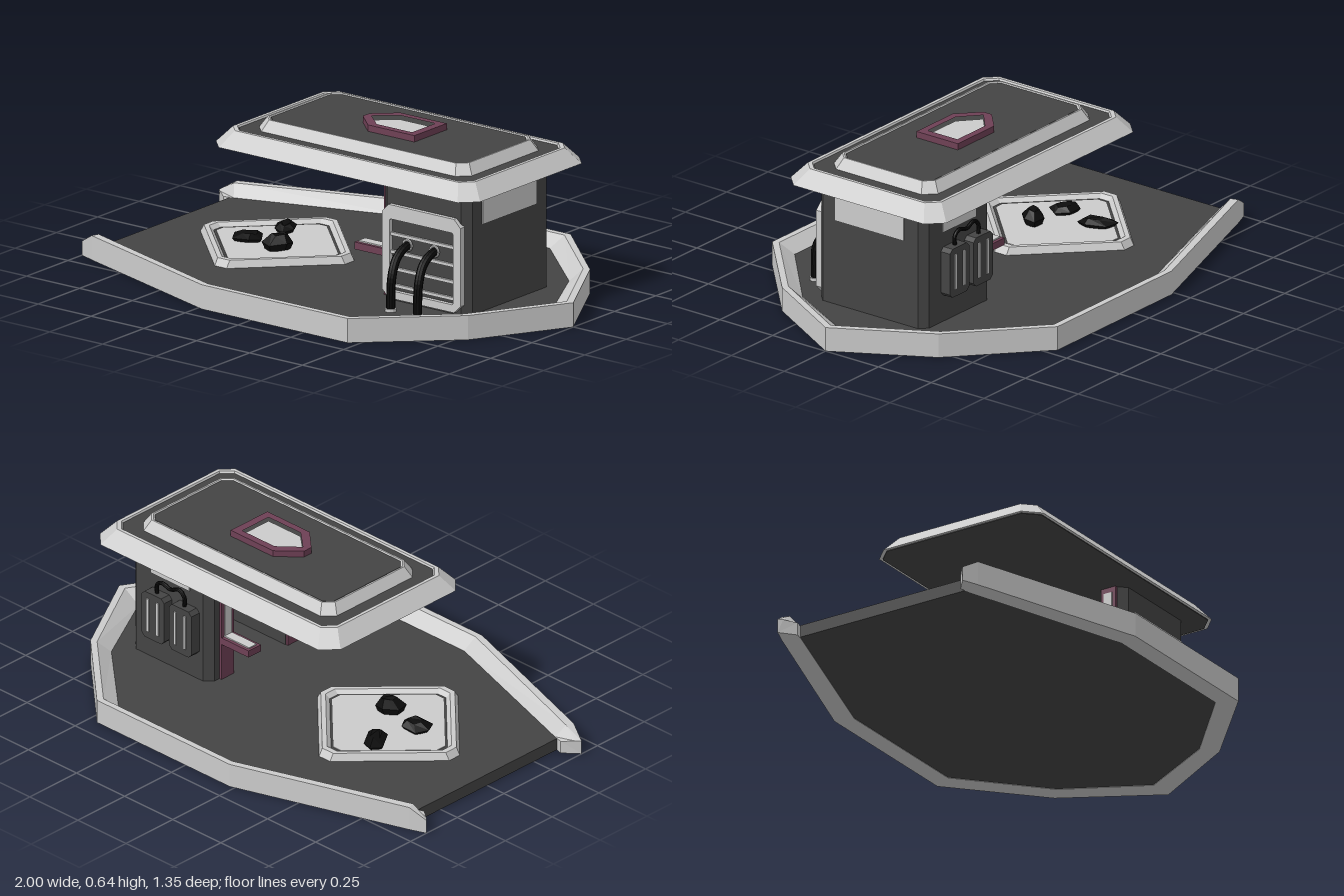
import * as THREE from 'three';

const mat = (color) => new THREE.MeshStandardMaterial({ color, flatShading: true });
const light = mat(0xcccccc), dark = mat(0x444444), black = mat(0x0c0c0c), maroon = mat(0x6e4055);

// Skin a series of closed convex cross-sections and cap both ends
function loft(rings) {
  const n = rings[0].length, tris = [];
  for (let r = 0; r + 1 < rings.length; r++)
    for (let i = 0; i < n; i++) {
      const j = (i + 1) % n, a = rings[r], b = rings[r + 1];
      tris.push([a[i], a[j], b[j]], [a[i], b[j], b[i]]);
    }
  const first = rings[0], last = rings[rings.length - 1];
  for (let i = 1; i + 1 < n; i++)
    tris.push([first[0], first[i + 1], first[i]], [last[0], last[i], last[i + 1]]);
  // signed volume decides which way the faces must turn
  const v = tris.map((t) => t.map((p) => new THREE.Vector3(...p)));
  const volume = v.reduce((s, [a, b, c]) => s + a.dot(b.clone().cross(c)), 0);
  if (volume < 0) v.forEach((t) => t.reverse());
  const g = new THREE.BufferGeometry().setFromPoints(v.flat());
  g.computeVertexNormals();
  return g;
}

// Rectangle with cut corners, at height y
function cutRect(x0, x1, z0, z1, c, y) {
  return [[x0 + c, z0], [x1 - c, z0], [x1, z0 + c], [x1, z1 - c],
    [x1 - c, z1], [x0 + c, z1], [x0, z1 - c], [x0, z0 + c]].map(([x, z]) => [x, y, z]);
}

const toPath = (pts, Type) => new Type(pts.map(([x, y]) => new THREE.Vector2(x, y)));

function plate(pts, depth, hole) {
  const s = toPath(pts, THREE.Shape);
  if (hole) s.holes.push(toPath(hole, THREE.Path));
  return new THREE.ExtrudeGeometry(s, { depth, bevelEnabled: false });
}

// Plan outline [x, z] raised from y0 to y1
function raise(pts, y0, y1, hole) {
  const flip = (list) => list && list.map(([x, z]) => [x, -z]);
  return plate(flip(pts), y1 - y0, flip(hole)).rotateX(-Math.PI / 2).translate(0, y0, 0);
}

export function createModel() {
  const model = new THREE.Group();
  const add = (name, geo, material, parent = model) => {
    const m = new THREE.Mesh(geo, material);
    m.name = name;
    parent.add(m);
    return m;
  };
  const box = (name, x0, x1, y0, y1, z0, z1, material, parent) => add(name,
    new THREE.BoxGeometry(x1 - x0, y1 - y0, z1 - z0)
      .translate((x0 + x1) / 2, (y0 + y1) / 2, (z0 + z1) / 2), material, parent);
  const FLOOR = 0.05;

  // Deck
  const deckSide = [[-0.915, 0.37], [-0.21, 0.6], [0.42, 0.6], [0.73, 0.32], [0.9, 0]];
  const deckPts = [...deckSide, ...deckSide.slice(0, 4).reverse().map(([x, z]) => [x, -z])];
  add('deck', raise(deckPts, 0.002, FLOOR), dark);

  // Rim: outer, top inner edge and foot at each station, mirrored about the bow
  const stations = [
    [-1, 0.415, -0.985, 0.4, -0.94, 0.365, 0.055],
    [-0.935, 0.44, -0.925, 0.41, -0.9, 0.375, 0.095],
    [-0.23, 0.675, -0.22, 0.65, -0.21, 0.6, 0.095],
    [0.46, 0.675, 0.45, 0.65, 0.42, 0.6, 0.095],
    [0.79, 0.37, 0.765, 0.36, 0.73, 0.32, 0.095],
    [1, 0, 0.97, 0, 0.9, 0, 0.095],
  ];
  for (const s of [1, -1])
    add('hullRim', loft(stations.map(([ox, oz, tx, tz, ix, iz, h]) => [
      [ox, 0, s * oz], [ox, h, s * oz], [tx, h, s * tz],
      [ix, Math.min(h, FLOOR), s * iz], [ix, 0, s * iz]])), light);

  // Diamond landing pad with a raised border
  const pad = new THREE.Group();
  pad.name = 'landingPad';
  pad.position.set(-0.4, FLOOR, 0);
  pad.rotation.y = Math.PI / 4;
  model.add(pad);
  const sq = (h, c, y) => cutRect(-h, h, -h, h, c, y);
  add('padBorder', loft([sq(0.262, 0.04, 0), sq(0.25, 0.04, 0.028), sq(0.232, 0.036, 0.028),
    sq(0.215, 0.03, 0.01)]), light, pad);
  add('padSeam', loft([sq(0.217, 0.03, 0.009), sq(0.217, 0.03, 0.0125)]), dark, pad);
  add('padPlate', loft([sq(0.208, 0.03, 0.01), sq(0.208, 0.03, 0.015)]), light, pad);

  // Rocks on the pad: x, z, half length, half width, height, turn
  for (const [x, z, l, w, h, turn] of [
    [-0.505, 0.045, 0.065, 0.058, 0.035, 0.2],
    [-0.47, -0.14, 0.08, 0.045, 0.036, -0.95],
    [-0.345, 0.07, 0.06, 0.045, 0.066, 0.9]]) {
    const ring = (k, y, dx) => [0.2, 1.1, 2.3, 3.4, 4.3, 5.4].map((a, i) =>
      [dx + Math.cos(a) * l * k, y + (i % 2) * 0.006, Math.sin(a) * w * k]);
    const rock = add('rock', loft([ring(0.8, 0, 0), ring(1, h * 0.4, 0), ring(0.5, h * 0.9, l * 0.15)]), black);
    rock.position.set(x, FLOOR + 0.012, z);
    rock.rotation.y = turn;
  }

  // Cabin with an open doorway alcove
  add('cabin', raise([[0.33, -0.24], [0.68, -0.24], [0.71, -0.21], [0.71, 0.24], [0.68, 0.27],
    [0.33, 0.27], [0.3, 0.24], [0.3, 0.17], [0.6, 0.17], [0.6, -0.12], [0.3, -0.12], [0.3, -0.21]],
  FLOOR, 0.53), dark);
  box('sideWindow', 0.7, 0.714, 0.39, 0.5, -0.145, 0.18, light);
  box('backWindow', 0.4, 0.6, 0.41, 0.49, -0.244, -0.23, light);

  // Door posts and the bars standing out from them
  for (const z of [-0.15, 0.205]) {
    box('doorPost', 0.29, 0.33, FLOOR, 0.525, z - 0.033, z + 0.033, maroon);
    box('doorStrip', 0.286, 0.3, 0.23, 0.5, z - 0.018, z + 0.018, light);
    box('doorBar', 0.15, 0.3, 0.2, 0.228, z - 0.033, z + 0.033, maroon);
    box('doorBarTop', 0.16, 0.3, 0.225, 0.233, z - 0.02, z + 0.02, light);
  }

  // Front vent: frame, slats and hoses
  const rectPts = (x0, x1, y0, y1, c) => cutRect(x0, x1, y0, y1, c, 0).map(([x, , y]) => [x, y]);
  add('ventFrame', plate(rectPts(0.32, 0.69, 0.06, 0.425, 0.03), 0.025,
    rectPts(0.355, 0.655, 0.09, 0.37, 0.005)).translate(0, 0, 0.262), light);
  for (const y of [0.11, 0.175, 0.24, 0.31])
    box('ventSlat', 0.355, 0.655, y - 0.006, y + 0.006, 0.265, 0.28, light);
  for (const x of [0.435, 0.562]) {
    const path = new THREE.CatmullRomCurve3([[0, 0.28, 0.265], [0, 0.272, 0.305], [0, 0.24, 0.35],
      [0.006, 0.18, 0.383], [0.004, 0.1, 0.387], [0.004, 0.04, 0.387]]
      .map(([dx, y, z]) => new THREE.Vector3(x + dx, y, z)));
    add('hose', new THREE.TubeGeometry(path, 20, 0.017, 10), black);
    const collar = add('hoseCollar', new THREE.TorusGeometry(0.02, 0.005, 6, 14), light);
    collar.position.set(x, 0.28, 0.28);
    const foot = add('hoseFoot', new THREE.CylinderGeometry(0.022, 0.022, 0.012, 12), light);
    foot.position.set(x + 0.004, FLOOR + 0.006, 0.387);
  }

  // Back tanks and the cable joining them
  for (const x of [0.408, 0.55]) {
    add('tank', plate(rectPts(x - 0.058, x + 0.058, 0.155, 0.35, 0.015), 0.05).translate(0, 0, -0.283), dark);
    for (const dx of [-0.025, 0.025])
      box('tankRib', x + dx - 0.006, x + dx + 0.006, 0.185, 0.325, -0.288, -0.28, light);
  }
  const cable = new THREE.CatmullRomCurve3([[0.55, 0.345], [0.55, 0.385], [0.525, 0.402], [0.48, 0.392],
    [0.435, 0.408], [0.408, 0.385], [0.408, 0.345]].map(([x, y]) => new THREE.Vector3(x, y, -0.26)));
  add('tankCable', new THREE.TubeGeometry(cable, 28, 0.008, 8), black);

  // Two-tier roof; each ring is inset from the eaves
  const roofRing = (inset, y, c) =>
    cutRect(-0.45 + inset, 0.8 - inset, -0.368 + inset, 0.368 - inset, c, y);
  add('roofUnderside', loft([roofRing(0.012, 0.522, 0.055), roofRing(0.012, 0.53, 0.055)]), dark);
  add('roofEaves', loft([roofRing(0, 0.525, 0.06), roofRing(0.052, 0.585, 0.045),
    roofRing(0.066, 0.585, 0.04), roofRing(0.07, 0.576, 0.04)]), light);
  add('roofChannel', loft([roofRing(0.07, 0.57, 0.04), roofRing(0.07, 0.578, 0.04)]), dark);
  add('upperRoof', loft([roofRing(0.12, 0.575, 0.045), roofRing(0.148, 0.62, 0.035),
    roofRing(0.155, 0.62, 0.03), roofRing(0.16, 0.614, 0.03)]), light);
  add('upperRoofPanel', loft([roofRing(0.16, 0.61, 0.03), roofRing(0.16, 0.617, 0.03)]), dark);

  // Roof hatch with a pointed frame
  const opening = [[0.045, 0], [0.125, -0.07], [0.292, -0.07], [0.292, 0.07], [0.125, 0.07]];
  add('hatchFrame', raise([[0.02, -0.02], [0.105, -0.098], [0.325, -0.098], [0.325, 0.098],
    [0.105, 0.098], [0.02, 0.02]], 0.612, 0.642, opening), maroon);
  add('hatchPanel', raise(opening, 0.612, 0.626), light);

  return model;
}
